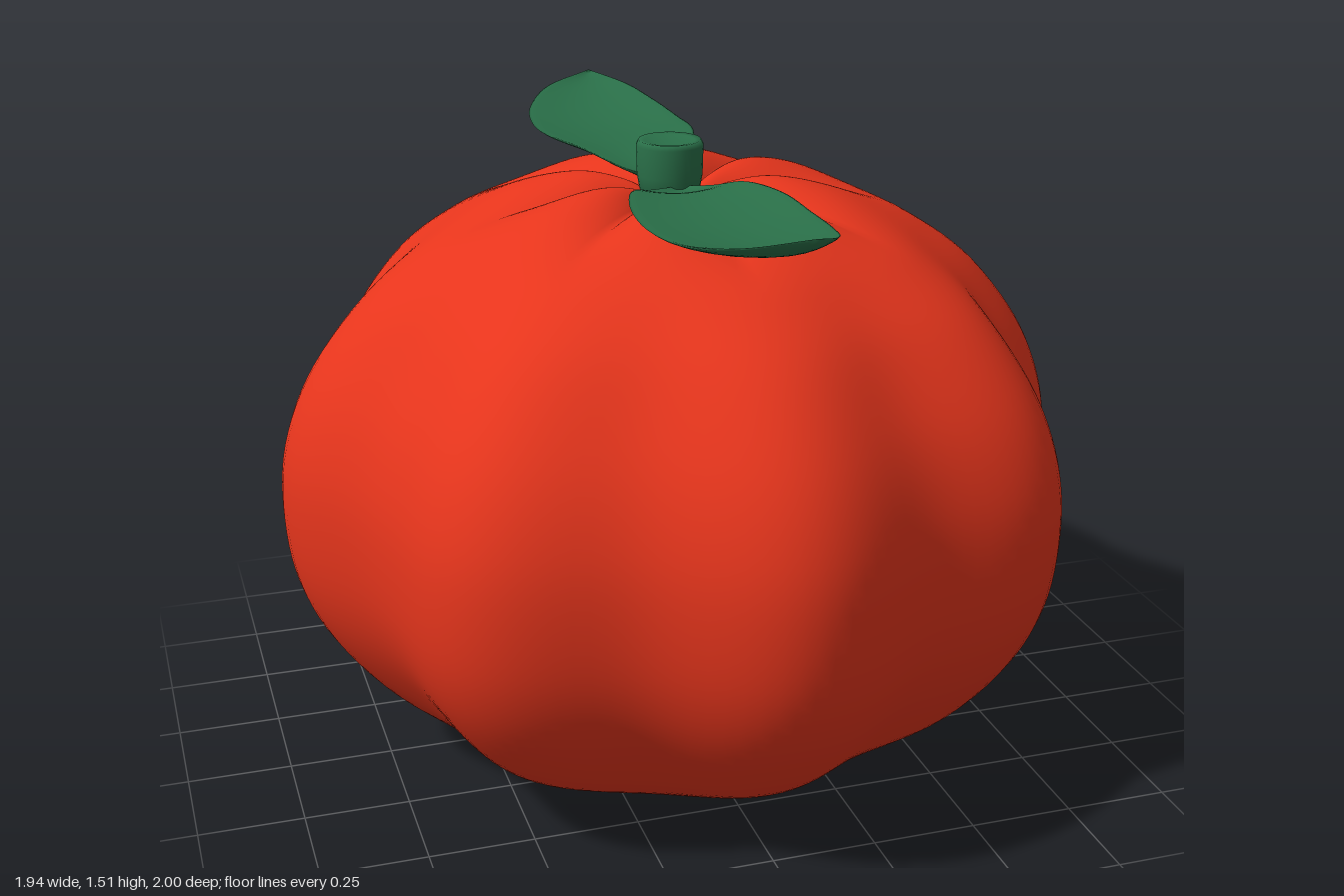
import * as THREE from 'three';
import { mergeVertices } from 'three/addons/utils/BufferGeometryUtils.js';
import { ParametricGeometry } from 'three/addons/geometries/ParametricGeometry.js';

const red = new THREE.MeshStandardMaterial({ color: 0xe6351c });
const green = new THREE.MeshStandardMaterial({ color: 0x2a7049 });

// Weld seams and poles so the shading is smooth all round
function smooth(geometry) {
  geometry.deleteAttribute('normal');
  geometry.deleteAttribute('uv');
  const welded = mergeVertices(geometry, 1e-4);
  welded.computeVertexNormals();
  return welded;
}

function part(name, geometry, material) {
  const mesh = new THREE.Mesh(geometry, material);
  mesh.name = name;
  return mesh;
}

// Fruit: lathed profile, eight lobes at the waist, eight creases at each pole
function fruitGeometry() {
  const profile = new THREE.SplineCurve([
    [0, 0.08], [0.06, 0.055], [0.12, 0.016], [0.18, 0.004], [0.3, 0.012], [0.45, 0.04],
    [0.6, 0.1], [0.75, 0.2], [0.88, 0.36], [0.95, 0.52], [0.97, 0.7], [0.95, 0.86],
    [0.88, 1.02], [0.75, 1.18], [0.6, 1.29], [0.45, 1.37], [0.33, 1.415], [0.22, 1.432],
    [0.12, 1.415], [0.05, 1.38], [0, 1.36],
  ].map(([r, y]) => new THREE.Vector2(r, y)));
  const points = profile.getPoints(110);
  points.forEach((p) => { p.x = Math.max(p.x, 0); });
  const geometry = new THREE.LatheGeometry(points, 160);
  const pos = geometry.attributes.position;
  const { smoothstep } = THREE.MathUtils;
  for (let i = 0; i < pos.count; i++) {
    const x = pos.getX(i), y = pos.getY(i), z = pos.getZ(i);
    const r = Math.hypot(x, z), angle = Math.atan2(z, x);
    const lobe = 1 - 0.045 * (1 - Math.cos(8 * angle)) * smoothstep(r, 0.35, 0.85);
    const crease = (1 - Math.abs(Math.sin(4 * angle)) ** 0.9)
      * smoothstep(r, 0, 0.14) * (1 - smoothstep(r, 0.22, 0.6));
    const inward = y > 0.7 ? -0.048 : 0.055;
    pos.setXYZ(i, x * lobe, y + inward * crease, z * lobe * 1.03);
  }
  return smooth(geometry);
}

// Leaf: thin cupped sections swept between two edge curves; dir is the z direction
function leafGeometry(dir) {
  const edge = (pts) => new THREE.CatmullRomCurve3(pts.map((p) => new THREE.Vector3(...p)));
  const left = edge([[0, 1.41, 0.03], [-0.09, 1.425, 0.1], [-0.17, 1.455, 0.21], [-0.215, 1.455, 0.36],
    [-0.22, 1.45, 0.52], [-0.19, 1.46, 0.68], [-0.11, 1.485, 0.81], [0.02, 1.51, 0.87]]);
  const right = edge([[0, 1.41, 0.03], [0.06, 1.425, 0.1], [0.105, 1.455, 0.2], [0.145, 1.46, 0.33],
    [0.155, 1.455, 0.49], [0.14, 1.465, 0.66], [0.1, 1.485, 0.79], [0.02, 1.51, 0.87]]);
  const a = new THREE.Vector3(), b = new THREE.Vector3();
  return smooth(new ParametricGeometry((u, v, target) => {
    left.getPoint(u, a);
    right.getPoint(u, b);
    const angle = -dir * v * Math.PI * 2;
    const across = Math.cos(angle);
    const body = Math.sin(Math.PI * u) ** 0.5 || 0;
    target.lerpVectors(a, b, (1 + across) / 2);
    target.y += body * (0.011 * Math.sin(angle) - 0.03 * (1 - across * across));
    target.z *= dir;
  }, 48, 24));
}

// Stem: short stub with a slightly dished top
function stemGeometry() {
  const outline = [[0, 1.34], [0.066, 1.36], [0.078, 1.43], [0.08, 1.5], [0.074, 1.512], [0.06, 1.51], [0, 1.495]];
  return smooth(new THREE.LatheGeometry(outline.map(([r, y]) => new THREE.Vector2(r, y)), 32));
}

export function createModel() {
  const model = new THREE.Group();
  model.name = 'leafyFruit';
  const stem = part('stem', stemGeometry(), green);
  stem.position.set(-0.01, 0, -0.02);
  model.add(
    part('fruit', fruitGeometry(), red),
    stem,
    part('frontLeaf', leafGeometry(1), green),
    part('backLeaf', leafGeometry(-1), green),
  );
  return model;
}
